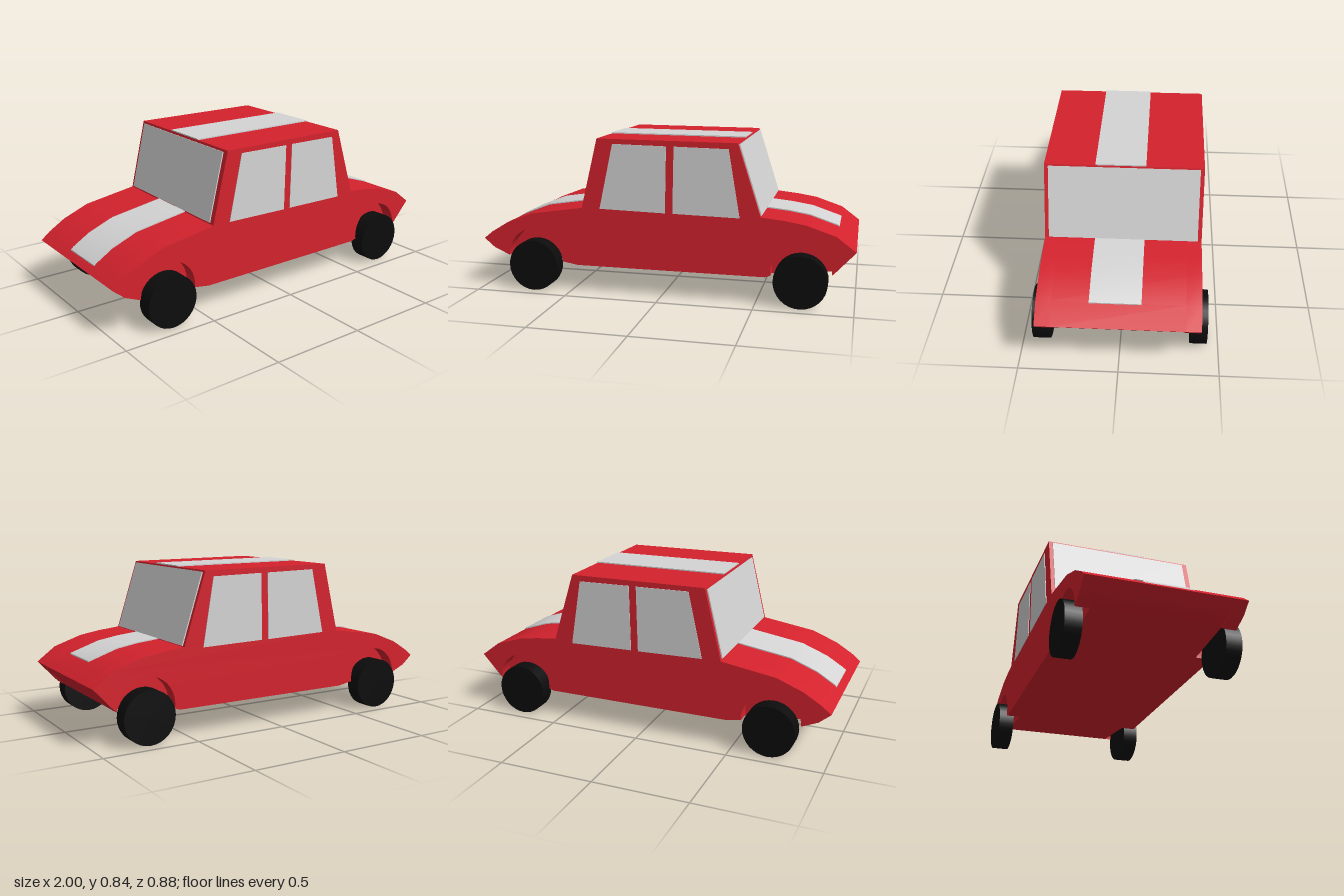
import * as THREE from 'three';
import { toCreasedNormals } from 'three/addons/utils/BufferGeometryUtils.js';

const material = (name, color) => {
  const m = new THREE.MeshStandardMaterial({ color });
  m.name = name;
  return m;
};

export function createModel() {
  const car = new THREE.Group();
  car.name = 'car';
  const red = material('body red', 0xd4222d);
  const grey = material('window and stripe grey', 0xd4d4d4);
  const black = material('tyre black', 0x0c0c0c);

  const add = (name, geometry, mat) => {
    const mesh = new THREE.Mesh(geometry, mat);
    mesh.name = name;
    car.add(mesh);
    return mesh;
  };

  // Extrude a side-on shape from z0 to z1
  const slab = (shape, z0, z1) => {
    const g = new THREE.ExtrudeGeometry(shape, { depth: z1 - z0, bevelEnabled: false, curveSegments: 24 });
    g.translate(0, 0, z0);
    return toCreasedNormals(g, 0.5);
  };
  const polygon = (points) => new THREE.Shape(points.map(([x, y]) => new THREE.Vector2(x, y)));

  // Body outline, over the top from tail to nose
  const trunk = [[-0.86, 0.36], [-0.72, 0.415], [-0.43, 0.46]];
  const roof = [[-0.34, 0.831], [0.4, 0.826]];
  const hood = [[0.52, 0.455], [0.64, 0.443], [0.75, 0.425], [0.9, 0.375]];
  const top = [[-1, 0.265], [-0.95, 0.305], ...trunk, ...roof, ...hood, [1, 0.3]];

  // Full middle section, then side sections with wheel arches cut out
  const core = polygon([...top, [0.885, 0.178], [0.55, 0.145], [-0.46, 0.145], [-0.855, 0.185], [-0.94, 0.215]]);
  add('bodyCore', slab(core, -0.325, 0.325), red);

  const wheelX = [0.73, -0.7];
  const side = polygon(top);
  side.lineTo(0.89, 0.18);
  side.absarc(wheelX[0], 0.178, 0.155, 0, Math.PI + 0.15, false);
  side.lineTo(0.55, 0.145);
  side.lineTo(-0.46, 0.145);
  side.absarc(wheelX[1], 0.178, 0.155, -0.12, Math.PI, false);
  side.lineTo(-0.94, 0.215);
  add('leftBodySide', slab(side, 0.325, 0.4), red);
  add('rightBodySide', slab(side, -0.4, -0.325), red);

  // Thin strip lying on a line of points, thickened by (dx, dy)
  const strip = (name, points, dx, dy, z0, z1) => {
    const outer = points.map(([x, y]) => [x + dx, y + dy]).reverse();
    add(name, slab(polygon([...points, ...outer]), z0, z1), grey);
  };
  strip('trunkStripe', [[-0.965, 0.293], [-0.95, 0.305], ...trunk], 0, 0.006, -0.11, 0.143);
  strip('roofStripe', roof, 0, 0.006, -0.11, 0.143);
  strip('hoodStripe', [...hood, [0.905, 0.371]], 0, 0.006, -0.11, 0.143);
  strip('windshield', [[0.403, 0.817], [0.519, 0.458]], 0.006, 0.002, -0.38, 0.38);
  strip('rearWindow', [[-0.428, 0.468], [-0.343, 0.819]], -0.006, 0.0015, -0.38, 0.37);

  // Side windows
  const panes = {
    RearWindow: [[-0.255, 0.805], [0.032, 0.8], [0.025, 0.452], [-0.33, 0.46]],
    FrontWindow: [[0.072, 0.8], [0.355, 0.795], [0.415, 0.445], [0.065, 0.452]],
  };
  for (const [name, points] of Object.entries(panes)) {
    add('left' + name, slab(polygon(points), 0.399, 0.403), grey);
    add('right' + name, slab(polygon(points), -0.403, -0.399), grey);
  }

  // Wheels
  const wheel = new THREE.CylinderGeometry(0.137, 0.137, 0.085, 32).rotateX(Math.PI / 2);
  wheelX.forEach((x, i) => {
    for (const s of [1, -1]) {
      const name = (i ? 'rear' : 'front') + (s > 0 ? 'Left' : 'Right') + 'Wheel';
      add(name, wheel, black).position.set(x, 0.137, s * 0.3965);
    }
  });

  return car;
}
